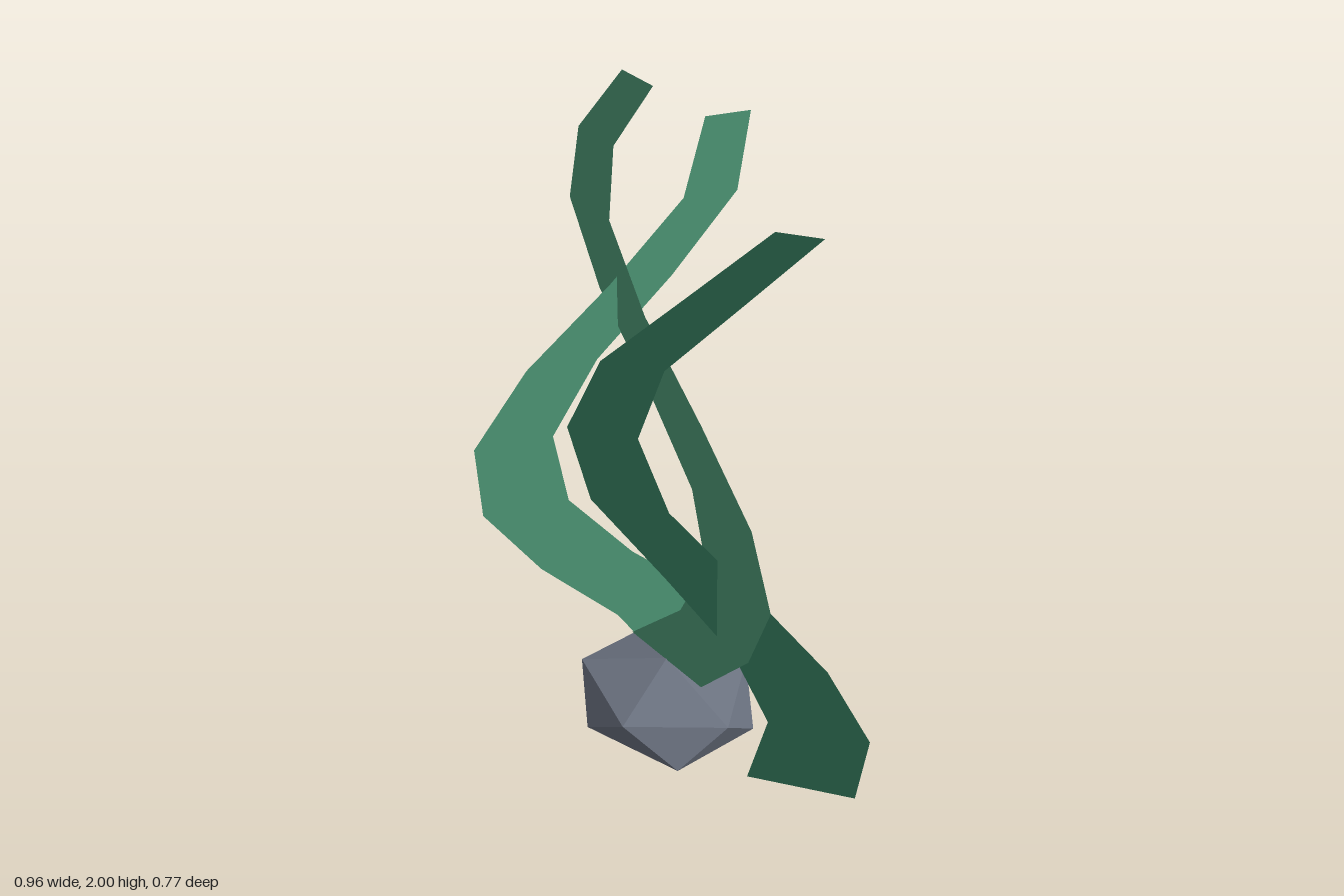
import * as THREE from 'three';
import { ConvexGeometry } from 'three/addons/geometries/ConvexGeometry.js';

function material(name, color) {
  const m = new THREE.MeshStandardMaterial({ color, flatShading: true });
  m.name = name;
  return m;
}

const SEGMENTS = 8;
const HEIGHT = 1.738;

// Flat upright ribbon: tapers from 0.31 to 0.12 wide while its centre line
// sways sideways along the horizontal direction (dirX, dirZ).
function ribbon(name, mat, { x, y, z, dirX, dirZ, sway }) {
  const geo = new THREE.PlaneGeometry(1, 1, 1, SEGMENTS);
  const pos = geo.attributes.position;
  for (let i = 0; i < pos.count; i++) {
    const t = pos.getY(i) + 0.5;
    const width = THREE.MathUtils.lerp(0.31, 0.12, t);
    const u = sway[Math.round(t * SEGMENTS)] + pos.getX(i) * width;
    pos.setXYZ(i, x + u * dirX, y + t * HEIGHT, z + u * dirZ);
  }
  geo.computeVertexNormals();
  const mesh = new THREE.Mesh(geo, mat);
  mesh.name = name;
  return mesh;
}

// Squashed twenty-sided stone: two poles and two staggered rings of five
function stone(mat) {
  const points = [new THREE.Vector3(0, 0.1325, 0), new THREE.Vector3(0, -0.1325, 0)];
  for (let i = 0; i < 10; i++) {
    const a = (i * Math.PI) / 5;
    const y = i % 2 ? -0.0585 : 0.0585;
    points.push(new THREE.Vector3(0.27 * Math.cos(a), y, 0.234 * Math.sin(a)));
  }
  const mesh = new THREE.Mesh(new ConvexGeometry(points), mat);
  mesh.name = 'stone';
  mesh.position.set(-0.1, 0.1325, 0.0125);
  return mesh;
}

export function createModel() {
  const group = new THREE.Group();
  group.name = 'seaweed';
  const lightGreen = material('lightGreen', 0x4f9a78);
  const darkGreen = material('darkGreen', 0x2f6f54);
  const grey = material('stoneGrey', 0x6b7280);
  lightGreen.side = darkGreen.side = THREE.DoubleSide;

  group.add(
    stone(grey),
    // tallest blade, facing the front
    ribbon('tallBlade', lightGreen, {
      x: 0, y: 0.262, z: 0.015, dirX: 1, dirZ: 0,
      sway: [-0.1, 0.108, 0.204, 0.135, -0.055, -0.27, -0.4, -0.363, -0.19],
    }),
    // blade facing mostly sideways
    ribbon('sideBlade', lightGreen, {
      x: -0.284, y: 0.09, z: 0, dirX: -0.361, dirZ: 0.932,
      sway: [-0.257, -0.107, 0.121, 0.286, 0.31, 0.17, -0.049, -0.236, -0.281],
    }),
    // dark blade set diagonally
    ribbon('darkBlade', darkGreen, {
      x: 0, y: 0, z: 0.097, dirX: 0.827, dirZ: -0.562,
      sway: [0.393, 0.437, 0.323, 0.121, -0.093, -0.163, -0.079, 0.131, 0.339],
    }),
  );
  return group;
}
